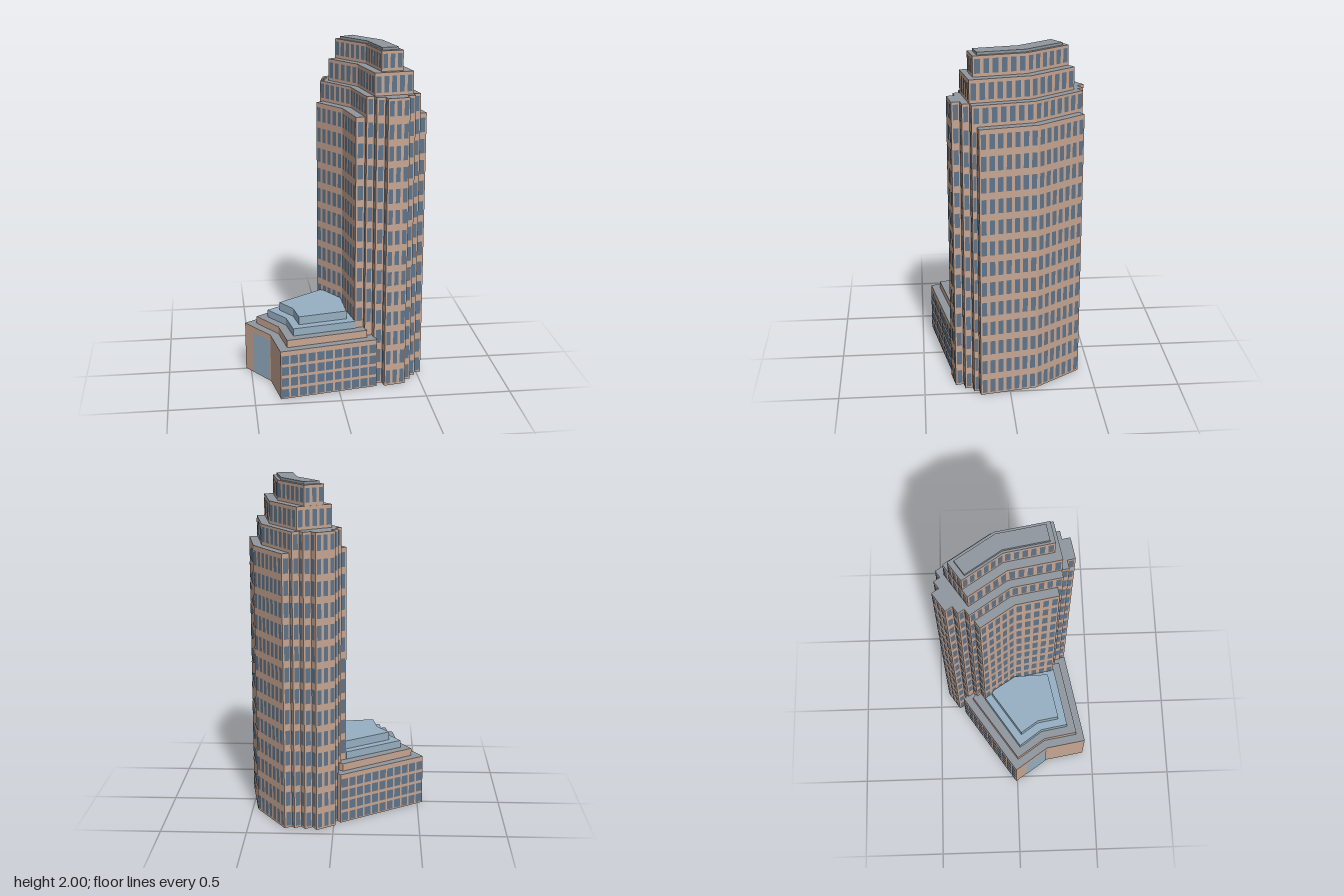
import * as THREE from 'three';
import { mergeGeometries } from 'three/addons/utils/BufferGeometryUtils.js';

const mat = (name, color) =>
  new THREE.MeshStandardMaterial({ name, color, side: THREE.DoubleSide });

// The tower plan is a bent bar: two arms meeting on a mitre line.
const INNER = [0.064, 0], OUTER = [0.467, -0.156];
const ARM = { back: [-0.56, -0.83], front: [0.178, 0.984] };
const bend = t => INNER.map((c, i) => c + (OUTER[i] - c) * t);
function armPoint(t, arm, s) {
  const p = bend(t), u = ARM[arm];
  const e = s - (p[0] * u[0] + p[1] * u[1]);
  return [p[0] + u[0] * e, p[1] + u[1] * e];
}

// Outline of nested bars; each bar: inner t, outer t, back end, front end.
function barOutline(bars) {
  const end = (side, arm) => {
    const pts = [];
    bars.forEach((b, i) => {
      const s = arm === 'back' ? 2 : 3;
      if (i) pts.push(armPoint(b[side], arm, bars[i - 1][s]));
      pts.push(armPoint(b[side], arm, b[s]));
    });
    return pts;
  };
  return [
    ...end(0, 'back'), ...end(1, 'back').reverse(), bend(bars[0][1]),
    ...end(1, 'front'), ...end(0, 'front').reverse(), bend(bars[0][0]),
  ];
}

// Upright panel on the wall a-b, between fractions f0 and f1.
function panel(a, b, f0, f1, y0, y1, out = 0) {
  const dx = b[0] - a[0], dz = b[1] - a[1], len = Math.hypot(dx, dz);
  const nx = dz / len, nz = -dx / len, f = (f0 + f1) / 2;
  return new THREE.PlaneGeometry(len * (f1 - f0), y1 - y0)
    .rotateY(Math.atan2(nx, nz))
    .translate(a[0] + dx * f + nx * out, (y0 + y1) / 2, a[1] + dz * f + nz * out);
}

// Grid of windows on one wall; lo and hi are fractions of the floor height.
function windowGrid(a, b, y0, floorH, rows, pitch, fill, lo, hi) {
  const n = Math.max(1, Math.round(Math.hypot(b[0] - a[0], b[1] - a[1]) / pitch));
  const list = [];
  for (let r = 0; r < rows; r++)
    for (let c = 0; c < n; c++)
      list.push(panel(a, b, (c + 0.5 - fill / 2) / n, (c + 0.5 + fill / 2) / n,
        y0 + (r + lo) * floorH, y0 + (r + hi) * floorH, 0.002));
  return list;
}

function cap(pts, y) {
  const shape = new THREE.Shape(pts.map(p => new THREE.Vector2(p[0], -p[1])));
  return new THREE.ShapeGeometry(shape).rotateX(-Math.PI / 2).translate(0, y, 0);
}

const edges = pts => pts.map((p, i) => [p, pts[(i + 1) % pts.length]]);

export function createModel() {
  const stone = mat('stone', 0xc6a592);
  const windowBlue = mat('windowBlue', 0x5f748a);
  const roofGrey = mat('roofGrey', 0x8f979e);
  const paleGlass = mat('paleGlass', 0x96b0c2);

  const model = new THREE.Group();
  model.name = 'building';
  const add = (name, geos, material) => {
    const mesh = new THREE.Mesh(mergeGeometries(geos), material);
    mesh.name = name;
    model.add(mesh);
  };

  // Tower tiers, with stepped ends
  const b1 = [0, 1, 0.197, 0.264], b2 = [0.125, 0.885, 0.226, 0.292];
  const b3 = [0.23, 0.775, 0.268, 0.335], b4 = [0.35, 0.655, 0.316, 0.382];
  const PODIUM_H = 0.3, FLOOR = 1.62 / 13;
  const tiers = [
    { name: 'towerShaft', bars: [b1, b2, b3, b4], y0: 0, y1: 1.62, rows: 13, lo: 0.1, hi: 0.78 },
    { name: 'lowerSetback', bars: [b2, b3, b4], y0: 1.62, y1: 1.74, rows: 1, lo: 0.16, hi: 0.88 },
    { name: 'middleSetback', bars: [[0.23, 0.775, 0.2, 0.295]], y0: 1.74, y1: 1.87, rows: 1, lo: 0.13, hi: 0.85 },
    { name: 'upperSetback', bars: [[0.35, 0.655, 0.198, 0.262]], y0: 1.87, y1: 1.985, rows: 1, lo: 0.16, hi: 0.86 },
  ];
  for (const t of tiers) {
    const pts = barOutline(t.bars), walls = [], windows = [];
    edges(pts).forEach(([a, b], i) => {
      // Walls above the podium start at its roof
      const raised = t.y0 === 0 && (i < 4 || i >= 24);
      const skip = raised ? 3 : 0;
      walls.push(panel(a, b, 0, 1, raised ? PODIUM_H : t.y0, t.y1));
      const h = (t.y1 - t.y0) / t.rows;
      windows.push(...windowGrid(a, b, t.y0 + skip * FLOOR, h, t.rows - skip, 0.048, 0.62, t.lo, t.hi));
    });
    add(t.name + 'Walls', walls, stone);
    add(t.name + 'Windows', windows, windowBlue);
    add(t.name + 'Roof', [cap(pts, t.y1)], roofGrey);
  }

  // Raised slab on the tower top
  const top = barOutline([[0.38, 0.61, 0.168, 0.235]]);
  add('topSlab', [cap(top, 2), ...edges(top).map(([a, b]) => panel(a, b, 0, 1, 1.985, 2))], roofGrey);

  // Podium: outer walls only, the tower closes the remaining side
  const west = [-0.53, -0.008], back = [-0.04, -0.337], backIn = [-0.012, -0.3];
  const frontIn = [0.222, 0.295], front = [0.23, 0.335], south = [-0.348, 0.44], notch = [-0.39, 0.195];
  const podium = [west, back, backIn, [0.2, -0.04], frontIn, front, south, notch];
  const outer = [[west, back], [back, backIn], [frontIn, front], [front, south], [south, notch], [notch, west]];
  add('podiumWalls', outer.map(([a, b]) => panel(a, b, 0, 1, 0, PODIUM_H)), stone);
  add('podiumRoof', [cap(podium, PODIUM_H)], roofGrey);
  add('podiumWindows', [[west, back], [front, south]].flatMap(([a, b]) =>
    windowGrid(a, b, 0, 0.07, 4, 0.053, 0.8, 0.12, 0.88)), windowBlue);
  add('entranceGlass', [panel(notch, west, 0.03, 0.68, 0.005, 0.265, 0.003)], paleGlass);

  // Stepped podium roof
  const steps = [
    { name: 'podiumParapet', y0: 0.3, y1: 0.345, wall: stone, roof: roofGrey,
      pts: [[-0.46, 0.005], [-0.05, -0.275], [-0.02, -0.25], [0.14, 0], [0.165, 0.26], [0.175, 0.295], [-0.305, 0.385], [-0.34, 0.18]] },
    { name: 'lowerSkylight', y0: 0.345, y1: 0.39, wall: paleGlass, roof: paleGlass,
      pts: [[-0.393, 0.02], [-0.07, -0.193], [0.068, 0], [0.115, 0.255], [-0.263, 0.325], [-0.293, 0.16]] },
    { name: 'upperSkylight', y0: 0.39, y1: 0.44, wall: paleGlass, roof: paleGlass,
      pts: [[-0.322, 0.03], [-0.053, -0.15], [-0.033, -0.136], [0.055, 0], [0.063, 0.213], [-0.225, 0.268], [-0.248, 0.137]] },
  ];
  for (const s of steps) {
    add(s.name + 'Walls', edges(s.pts).map(([a, b]) => panel(a, b, 0, 1, s.y0, s.y1)), s.wall);
    add(s.name + 'Roof', [cap(s.pts, s.y1)], s.roof);
  }
  return model;
}
